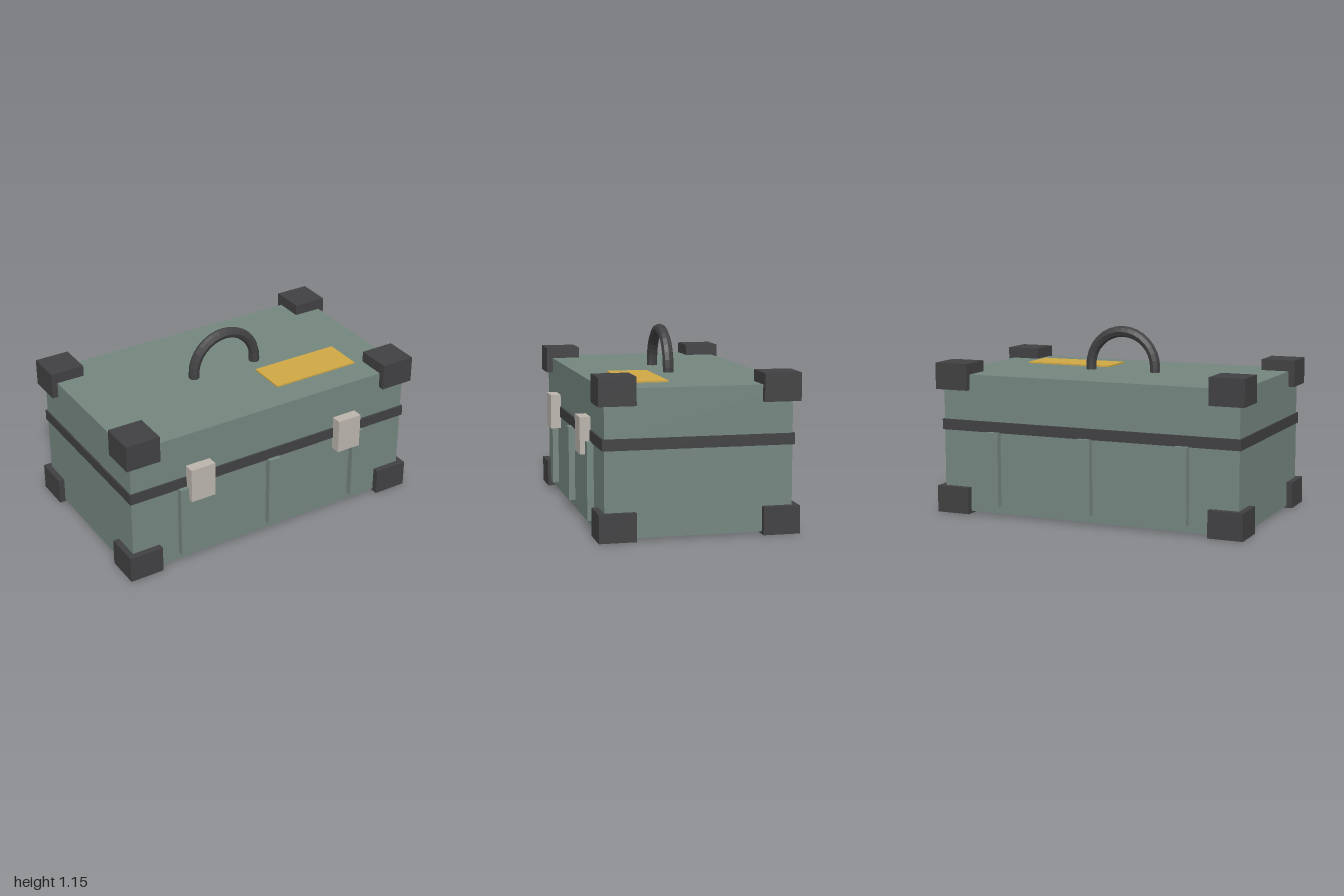
import * as THREE from 'three';

export function createModel() {
  const model = new THREE.Group();
  const mat = (color) => new THREE.MeshStandardMaterial({ color, flatShading: true });
  const shell = mat(0x74867f);
  const dark = mat(0x414143);
  const metal = mat(0xbab4ac);
  const gold = mat(0xd0a845);
  const cz = -0.016; // middle of the case; the latches stick out further in front

  const add = (name, geometry, material, x, y, z) => {
    const mesh = new THREE.Mesh(geometry, material);
    mesh.name = name;
    mesh.position.set(x, y, z);
    model.add(mesh);
    return mesh;
  };
  // box given by its lower and upper height
  const box = (name, material, w, y0, y1, d, x, z) =>
    add(name, new THREE.BoxGeometry(w, y1 - y0, d), material, x, (y0 + y1) / 2, z);

  // case halves and the seam band between them
  box('base', shell, 1.925, 0.014, 0.55, 1.102, 0, cz);
  box('lid', shell, 1.925, 0.55, 0.867, 1.102, 0, cz);
  box('seamBand', dark, 1.944, 0.518, 0.584, 1.126, 0, cz);

  // corner guards
  for (const sx of [-1, 1]) {
    for (const sz of [-1, 1]) {
      box('lowerCornerGuard', dark, 0.216, 0, 0.165, 0.218, sx * 0.892, cz + sz * 0.481);
      box('upperCornerGuard', dark, 0.216, 0.771, 0.935, 0.218, sx * 0.892, cz + sz * 0.481);
    }
  }

  // ribs on the front and back of the base
  for (const x of [-0.615, 0, 0.615]) {
    for (const sz of [-1, 1]) {
      box('rib', shell, 0.08, 0.06, 0.522, 0.08, x, cz + sz * 0.55);
    }
  }

  // latches
  for (const sx of [-1, 1]) {
    box('latch', metal, 0.16, 0.443, 0.661, 0.065, sx * 0.52, 0.573);
  }

  // label plate on the lid
  box('labelPlate', gold, 0.573, 0.862, 0.877, 0.246, 0.437, 0.23);

  // carrying handle: half ring on two short legs
  const ringY = 0.896;
  add('handle', new THREE.TorusGeometry(0.217, 0.034, 8, 16, Math.PI), dark, 0, ringY, cz);
  for (const sx of [-1, 1]) {
    const leg = new THREE.CylinderGeometry(0.034, 0.034, 0.04, 8);
    add('handleLeg', leg, dark, sx * 0.217, ringY - 0.02, cz);
  }
  return model;
}
